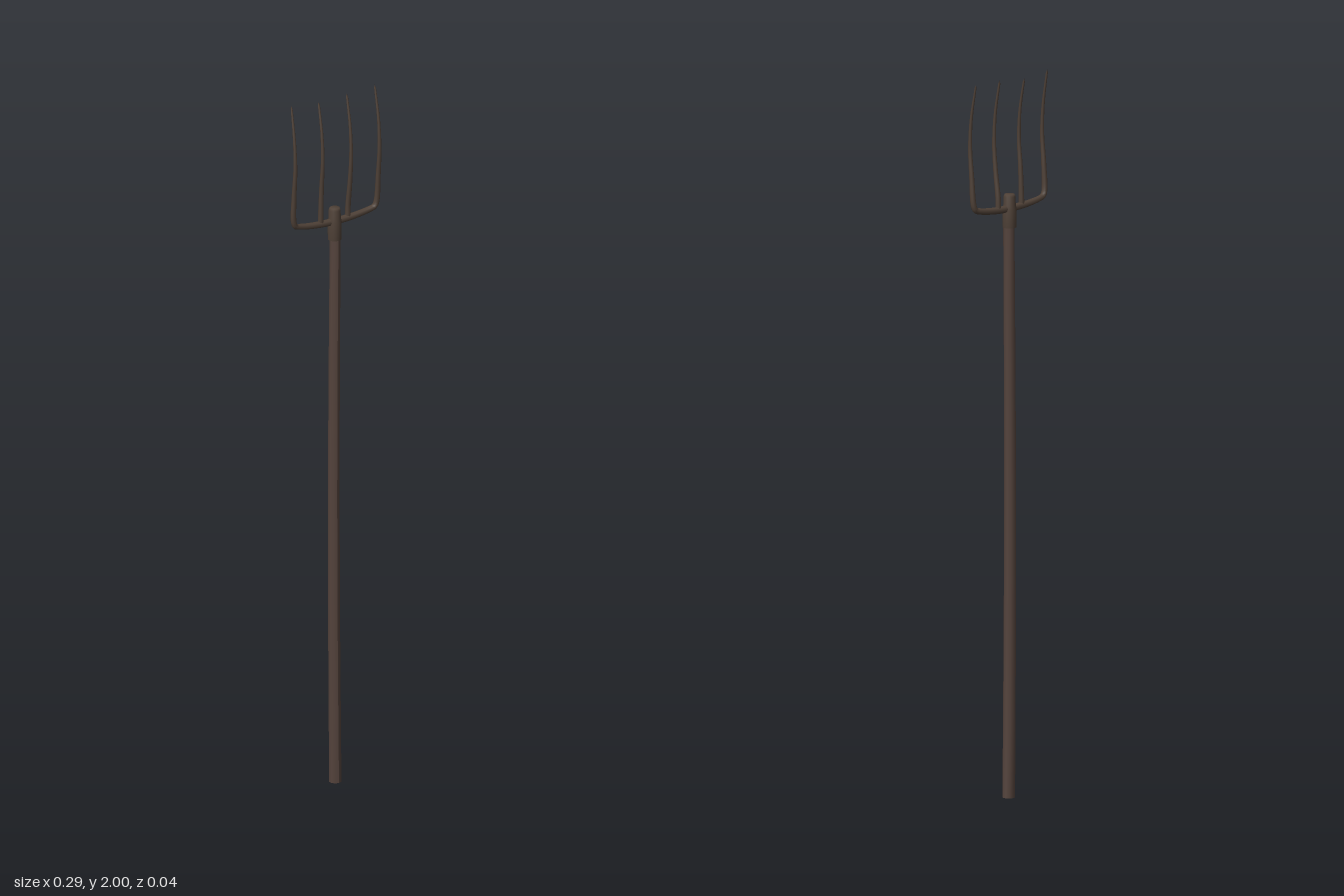
import * as THREE from 'three';

const wood = new THREE.MeshStandardMaterial({ name: 'weathered wood', color: 0x54433c });
const iron = new THREE.MeshStandardMaterial({ name: 'aged iron', color: 0x4f4137 });

function part(name, geometry, material) {
  const mesh = new THREE.Mesh(geometry, material);
  mesh.name = name;
  return mesh;
}

// Rod along a smooth curve, with a radius that varies from 0 to 1 along its length
function rod(points, segments, radiusAt) {
  const curve = new THREE.CatmullRomCurve3(points.map(p => new THREE.Vector3(...p)));
  const sides = 8;
  const geometry = new THREE.TubeGeometry(curve, segments, 1, sides);
  const pos = geometry.attributes.position;
  const v = new THREE.Vector3();
  for (let i = 0; i <= segments; i++) {
    const t = i / segments;
    const centre = curve.getPointAt(t);
    for (let j = 0; j <= sides; j++) {
      const k = i * (sides + 1) + j;
      v.fromBufferAttribute(pos, k).sub(centre).multiplyScalar(radiusAt(t)).add(centre);
      pos.setXYZ(k, v.x, v.y, v.z);
    }
  }
  return geometry;
}

// Tine path above its base: bows forward in the middle, back at the tip
function tinePoints(x, top, dz) {
  return [
    [x, 1.74, 0.004 + dz],
    [x, 1.82, 0.01 + dz],
    [x, 1.90, 0.006 + dz],
    [x * 0.99, top, -0.011 + dz],
  ];
}

export function createModel() {
  const group = new THREE.Group();
  group.name = 'pitchfork';

  // Handle: long tapered pole with a slight natural bow
  const handleGeo = new THREE.CylinderGeometry(0.0155, 0.0175, 1.61, 10, 8);
  handleGeo.translate(0, 0.805, 0);
  const p = handleGeo.attributes.position;
  for (let i = 0; i < p.count; i++) {
    p.setX(i, p.getX(i) - 0.005 * Math.sin(Math.PI * p.getY(i) / 1.61));
  }
  handleGeo.computeVertexNormals();
  group.add(part('handle', handleGeo, wood));

  // Socket: stepped collar joining the handle and the fork head
  const profile = [[0.014, 1.583], [0.019, 1.583], [0.0195, 1.635], [0.017, 1.645],
    [0.0165, 1.668], [0.0135, 1.675], [0, 1.675]].map(a => new THREE.Vector2(...a));
  const socket = part('socket', new THREE.LatheGeometry(profile, 16), iron);
  socket.position.z = -0.003;
  group.add(socket);

  // Crossbar and outer tines, forged as one bent rod
  const left = [
    [0.06, 1.637, -0.003], [0.112, 1.644, -0.003], [0.13, 1.65, -0.002],
    [0.136, 1.665, -0.001], ...tinePoints(0.138, 2, 0),
  ];
  const right = left.map(([x, y, z]) => [-x, y, z]).reverse();
  const frameRadius = t => {
    const d = Math.abs(t - 0.5) * 2; // 0 at the socket, 1 at the tips
    if (d >= 0.999) return 0;
    return d < 0.3 ? 0.0105 - 0.008 * d : 0.0081 - 0.0055 * (d - 0.3) / 0.7;
  };
  group.add(part('crossbarAndOuterTines',
    rod([...right, [0, 1.635, -0.003], ...left], 120, frameRadius), iron));

  // Inner tines rising from the crossbar
  for (const [name, x, top, dz] of [['innerTineRight', -0.046, 1.99, -0.003],
    ['innerTineLeft', 0.043, 1.997, 0.003]]) {
    const path = [[x, 1.636, -0.003], [x, 1.67, -0.002], ...tinePoints(x, top, dz)];
    group.add(part(name, rod(path, 40, t => (t === 1 ? 0 : 0.008 - 0.0052 * t)), iron));
  }

  return group;
}
